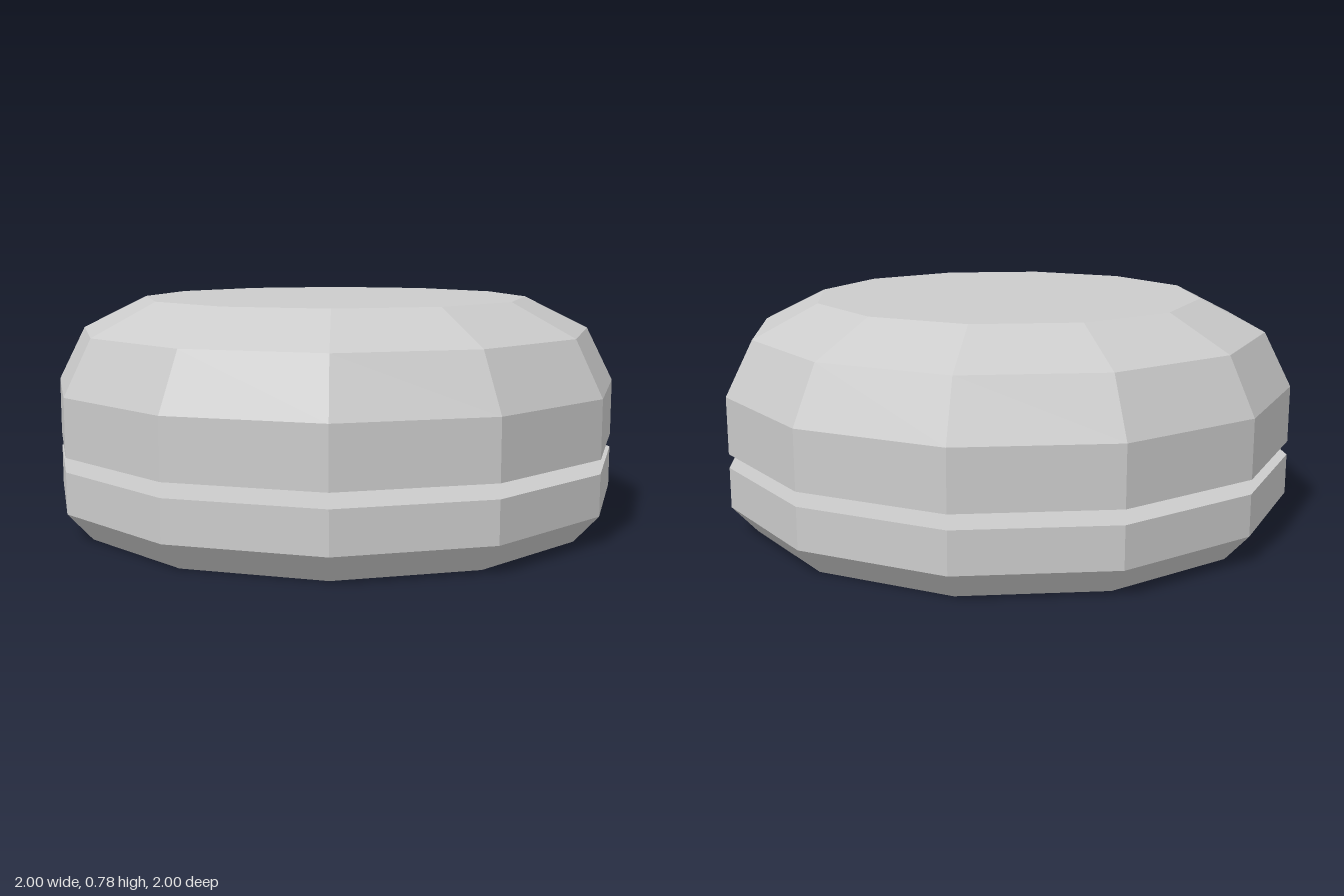
import * as THREE from 'three';

const SIDES = 12;

// Closed twelve-sided solid from a [radius, height] profile, listed bottom to top
function turned(name, profile) {
  const points = [
    [0, profile[0][1]],
    ...profile,
    [0, profile[profile.length - 1][1]],
  ].map(([r, y]) => new THREE.Vector2(r, y));
  const material = new THREE.MeshStandardMaterial({ color: 0xcccccc, flatShading: true });
  const mesh = new THREE.Mesh(new THREE.LatheGeometry(points, SIDES), material);
  mesh.name = name;
  return mesh;
}

export function createModel() {
  const model = new THREE.Group();
  model.name = 'bun';

  // Lower half: flat underside with a chamfered rim
  model.add(turned('bottomBun', [[0.915, 0], [1, 0.095], [1, 0.235]]));

  // Upper half: domed in two bevels, floating just above the lower half
  model.add(turned('topBun', [[1, 0.283], [1, 0.48], [0.905, 0.668], [0.68, 0.78]]));

  return model;
}
